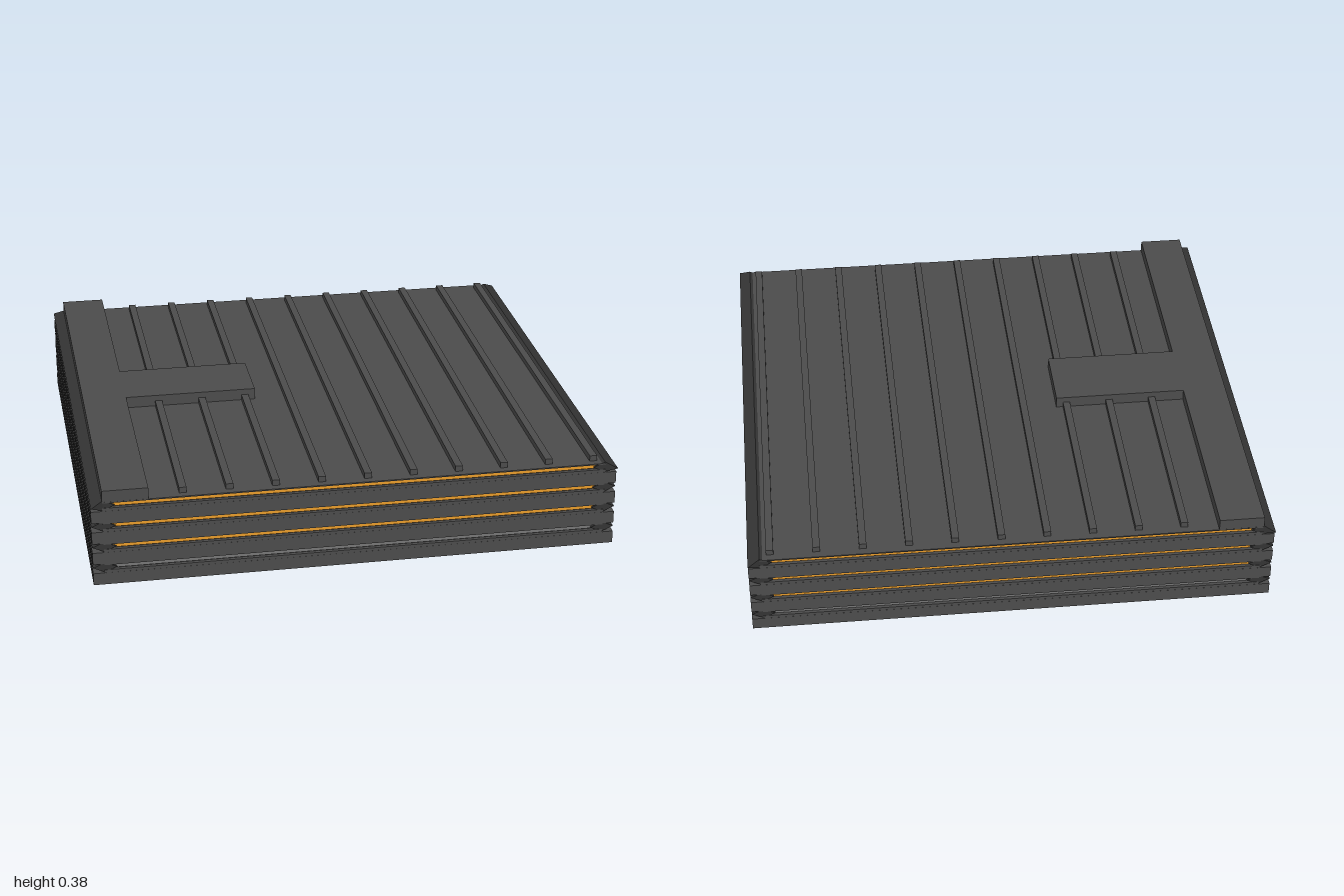
import * as THREE from 'three';

export function createModel() {
  const group = new THREE.Group();
  const mat = (name, color, flatShading = false) => {
    const m = new THREE.MeshStandardMaterial({ color, flatShading });
    m.name = name;
    return m;
  };
  const grey = mat('grey', 0x4c4c4c);
  const darkGrey = mat('dark grey', 0x343434, true);
  const paleGrey = mat('pale grey', 0x777777);
  const orange = mat('orange', 0xe89c2c);
  const blue = mat('blue', 0x1010e0);

  // Box given by its limits on each axis
  const box = (name, m, x0, x1, y0, y1, z0, z1) => {
    const mesh = new THREE.Mesh(new THREE.BoxGeometry(x1 - x0, y1 - y0, z1 - z0), m);
    mesh.position.set((x0 + x1) / 2, (y0 + y1) / 2, (z0 + z1) / 2);
    mesh.name = name;
    group.add(mesh);
  };

  // Pointed rail running along z, with its outer edge optionally flared at the ends
  const rail = (side, y, tip) => {
    const geo = new THREE.CylinderGeometry(1, 1, 2, 4).rotateX(Math.PI / 2);
    const p = geo.attributes.position;
    for (let i = 0; i < p.count; i++) {
      const x = p.getX(i);
      const half = x * side > 0.5 ? tip : 0.958;
      p.setXYZ(i, x * 0.045, p.getY(i) * 0.02, Math.sign(p.getZ(i)) * half);
    }
    geo.computeVertexNormals();
    const mesh = new THREE.Mesh(geo, darkGrey);
    mesh.position.set(side * 0.955, y, 0);
    mesh.name = 'pointedRail';
    group.add(mesh);
  };

  // Inner core
  box('core', grey, -0.955, 0.955, 0.01, 0.335, -0.945, 0.945);

  const pitch = 0.085;
  for (let i = 0; i < 4; i++) {
    const y = i * pitch;
    const mid = y + 0.025;
    const seam = y + 0.07;

    // Layer with a narrow slot along each x side
    box('layerLower', grey, -1, 1, y, mid - 0.009, -0.96, 0.96);
    box('layerUpper', grey, -1, 1, mid + 0.009, y + 0.048, -0.96, 0.96);
    box('layerCore', grey, -0.985, 0.985, mid - 0.009, mid + 0.009, -0.95, 0.95);
    for (const s of [-1, 1]) {
      const a = s * 0.95, b = s * 0.96;
      box('layerEnd', grey, -1, 1, mid - 0.009, mid + 0.009, Math.min(a, b), Math.max(a, b));
    }
    // Wider facing that closes the front and back down to thin seams
    box('facing', grey, -0.957, 0.957, y + 0.047, seam - 0.01, -0.9595, 0.9595);
    box('facing', grey, -0.957, 0.957, seam + 0.01, i < 3 ? y + 0.086 : 0.34, -0.9595, 0.9595);

    for (const s of [-1, 1]) {
      rail(s, seam, i === 3 ? 0.98 : 0.958);
      // Coloured strips inside the seams and slots
      box('seamStrip', i === 0 ? paleGrey : orange, -0.945, 0.945,
        seam - 0.006, seam + 0.006, s * 0.947 - 0.004, s * 0.947 + 0.004);
      box('slotStrip', s > 0 && i > 1 ? darkGrey : blue, s * 0.988 - 0.004, s * 0.988 + 0.004,
        mid - 0.006, mid + 0.006, -0.945, 0.945);
    }
  }

  // Ribs across the top
  for (let i = 0; i < 10; i++) {
    const x = -0.655 + i * 0.1745;
    box('topRib', grey, x - 0.014, x + 0.014, 0.335, 0.362, -0.93, 0.93);
  }

  // Raised edge plank and its tab
  box('edgePlank', grey, -0.957, -0.785, 0.335, 0.385, -0.959, 0.959);
  box('plankTab', grey, -0.785, -0.265, 0.335, 0.385, -0.14, 0.13);

  return group;
}
